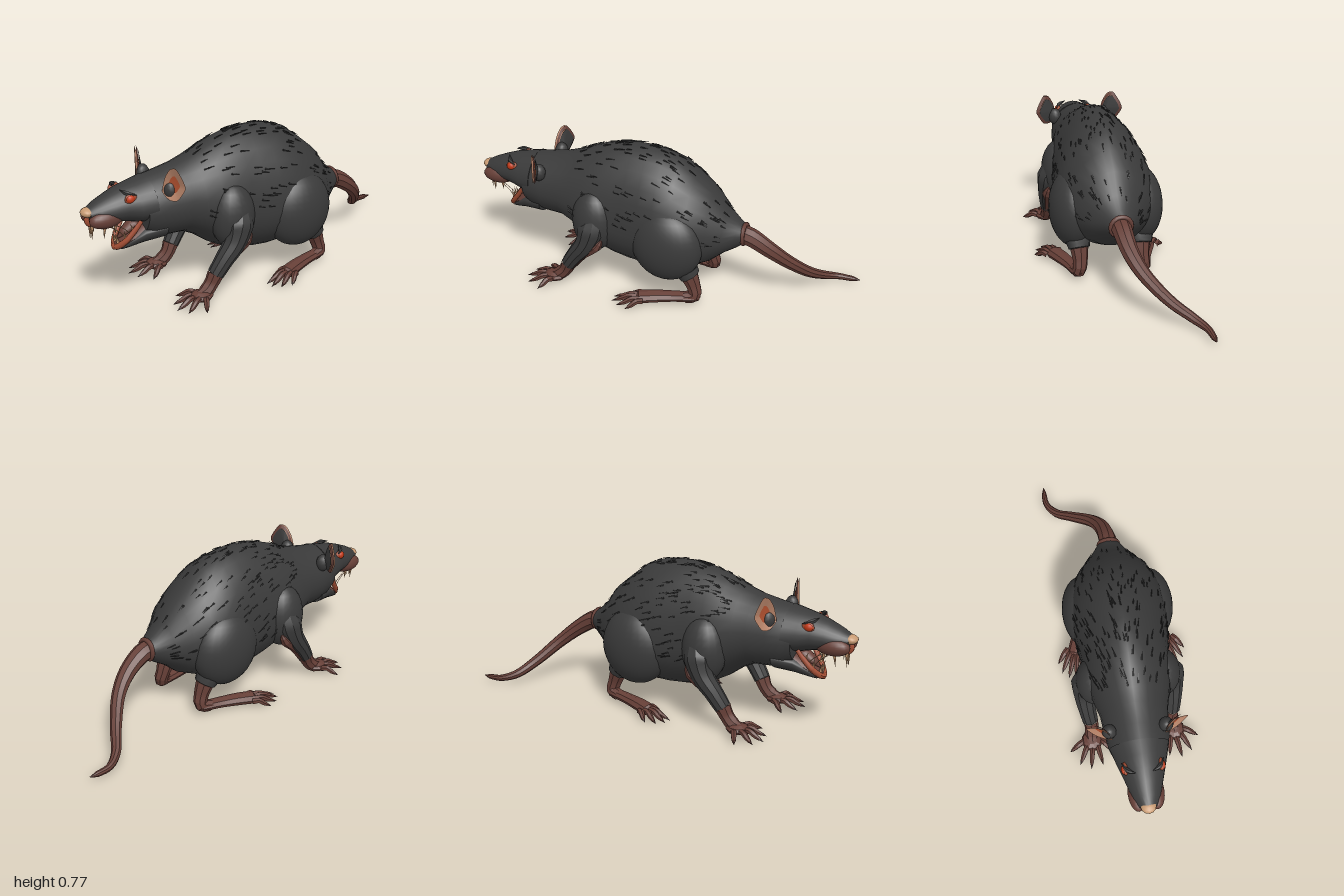
import * as THREE from 'three';
import { mergeGeometries, toCreasedNormals } from 'three/addons/utils/BufferGeometryUtils.js';

const mat = (name, color, side = THREE.FrontSide) => {
  const m = new THREE.MeshStandardMaterial({ color, side });
  m.name = name;
  return m;
};

// Loft along z; each section is [z, top, bottom, widest height, half width]
const sectionPoint = ([z, top, bottom, mid, w], a) => {
  const c = Math.cos(a), s = Math.sin(a);
  return [Math.sign(c) * w * Math.abs(c) ** 1.15, mid + s * (s > 0 ? top - mid : mid - bottom), z];
};

function loft(sections, sides = 28, crease = 0.9) {
  const pos = [], idx = [], last = sections.length - 1;
  for (const s of sections)
    for (let j = 0; j < sides; j++) pos.push(...sectionPoint(s, j / sides * Math.PI * 2));
  for (let i = 0; i < last; i++)
    for (let j = 0; j < sides; j++) {
      const k = (j + 1) % sides, a = i * sides, b = a + sides;
      idx.push(a + j, a + k, b + j, a + k, b + k, b + j);
    }
  const n = pos.length / 3;
  pos.push(0, sections[0][3], sections[0][0], 0, sections[last][3], sections[last][0]);
  for (let j = 0; j < sides; j++) {
    const k = (j + 1) % sides;
    idx.push(n, k, j, n + 1, last * sides + j, last * sides + k);
  }
  const g = new THREE.BufferGeometry();
  g.setAttribute('position', new THREE.Float32BufferAttribute(pos, 3));
  g.setIndex(idx);
  return toCreasedNormals(g, crease);
}

// Tapered tube through points [x, y, z, radius], with pinched ends
function limb(points, sides = 9, steps = 16, crease = 0.9, flat = 1) {
  const curve = new THREE.CatmullRomCurve3(points.map(p => new THREE.Vector3(p[0], p[1], p[2])));
  const g = new THREE.TubeGeometry(curve, steps, 1, sides);
  g.deleteAttribute('uv');
  const p = g.attributes.position, v = new THREE.Vector3();
  for (let i = 0; i <= steps; i++) {
    const u = i / steps, c = curve.getPointAt(u);
    const f = curve.getUtoTmapping(u) * (points.length - 1);
    const k = Math.min(Math.floor(f), points.length - 2);
    const r = THREE.MathUtils.lerp(points[k][3], points[k + 1][3], f - k);
    for (let j = 0; j <= sides; j++) {
      const n = i * (sides + 1) + j;
      v.fromBufferAttribute(p, n).sub(c).multiplyScalar(r);
      p.setXYZ(n, c.x + v.x, c.y + v.y * flat, c.z + v.z);
    }
  }
  return toCreasedNormals(g, crease);
}

const blob = (x, y, z, rx, ry, rz, w = 20, h = 14) =>
  new THREE.SphereGeometry(1, w, h).scale(rx, ry, rz).translate(x, y, z);

// Cone from a base point to a tip
function spike(base, tip, r, sides = 6) {
  const a = new THREE.Vector3(...base), d = new THREE.Vector3(...tip).sub(a), len = d.length();
  const q = new THREE.Quaternion().setFromUnitVectors(new THREE.Vector3(0, 1, 0), d.normalize());
  return new THREE.ConeGeometry(r, len, sides).translate(0, len / 2, 0).applyQuaternion(q).translate(...base);
}

// Band of the cupped ear between two fractions of its outline
function earBand(r0, r1, shift = 0, flip = false) {
  const outline = [[.125, .57], [.16, .535], [.2, .54], [.24, .605], [.225, .65], [.195, .695], [.165, .685], [.14, .64]];
  const curve = new THREE.CatmullRomCurve3(outline.map(p => new THREE.Vector3(p[0], p[1], 0)), true, 'catmullrom', 0.3);
  const at = (u, r) => {
    const o = curve.getPoint(u % 1), x = .155 + (o.x - .155) * r, y = .605 + (o.y - .605) * r;
    return [x, y, .645 - .5 * (x - .125) - .022 * (1 - r * r) + shift];
  };
  const pos = [], n = 24;
  for (let i = 0; i < n; i++) {
    const a = at(i / n, r0), b = at((i + 1) / n, r0), c = at(i / n, r1), d = at((i + 1) / n, r1);
    for (const t of [[a, c, d], [a, d, b]]) pos.push(...(flip ? t.reverse() : t).flat());
  }
  const g = new THREE.BufferGeometry();
  g.setAttribute('position', new THREE.Float32BufferAttribute(pos, 3));
  return toCreasedNormals(g, 0.3);
}

export function createModel() {
  const fur = mat('dark fur', 0x3a3a3a), tuftMat = mat('fur tufts', 0x2e2e2e, THREE.DoubleSide);
  const skin = mat('brown skin', 0x663f37), gum = mat('orange flesh', 0xa34e34);
  const pink = mat('pale ear skin', 0xb9856a, THREE.DoubleSide), inner = mat('inner ear', 0xb0502f, THREE.DoubleSide);
  const eyeRed = mat('red eye', 0xc23a18), ivory = mat('teeth', 0xc79a72), claw = mat('claw', 0x4a2c28);
  const model = new THREE.Group(), left = new THREE.Group();
  left.name = 'leftParts';
  const add = (name, g, m, to = model) => {
    const mesh = new THREE.Mesh(g, m);
    mesh.name = name;
    to.add(mesh);
  };

  // Torso, neck and back of the head
  const body = [
    [-.45, .41, .31, .36, .055], [-.42, .43, .285, .36, .075], [-.36, .485, .25, .35, .12],
    [-.29, .58, .19, .36, .18], [-.2, .655, .15, .36, .225], [-.12, .715, .13, .36, .243],
    [-.04, .745, .118, .36, .245], [.04, .759, .115, .36, .24], [.12, .762, .122, .36, .23],
    [.2, .755, .137, .37, .222], [.28, .735, .165, .39, .218], [.35, .71, .205, .41, .205],
    [.43, .675, .265, .44, .185], [.5, .652, .3, .455, .166], [.6, .632, .305, .46, .157],
    [.67, .622, .32, .465, .145], [.715, .612, .345, .47, .128]];
  add('body', loft(body), fur);

  // Upper muzzle, nose and lower jaw
  add('muzzle', loft([[.67, .623, .4, .49, .143], [.74, .609, .41, .49, .123], [.8, .596, .425, .5, .104],
    [.86, .575, .435, .495, .085], [.92, .55, .45, .49, .066], [.965, .525, .462, .49, .042]]), fur);
  add('nose', blob(0, .503, .962, .038, .023, .037, 12, 8), ivory);
  add('noseBridge', blob(0, .468, .945, .016, .042, .04, 10, 8), gum);
  add('chin', loft([[.62, .41, .305, .38, .13], [.72, .395, .297, .365, .1],
    [.78, .35, .288, .33, .07], [.815, .322, .284, .305, .045]]), fur);
  add('mouthLining', loft([[.69, .425, .36, .385, .094], [.77, .37, .32, .345, .07],
    [.815, .335, .29, .315, .048], [.838, .315, .284, .3, .03]], 16), skin);
  add('lowerLip', limb([[.084, .435, .735, .01], [.072, .39, .765, .013], [.05, .335, .808, .014], [0, .297, .838, .016],
    [-.05, .335, .808, .014], [-.072, .39, .765, .013], [-.084, .435, .735, .01]], 7, 24), gum);
  add('tongue', limb([[0, .415, .71, .001], [0, .4, .735, .038], [0, .365, .785, .03], [0, .335, .825, .001]], 10, 14, 0.9, .5), skin);

  // Tail
  add('tail', limb([[0, .36, -.42, .05], [0, .348, -.48, .048], [-.015, .285, -.58, .041], [-.06, .21, -.665, .034],
    [-.16, .11, -.755, .028], [-.25, .05, -.82, .023], [-.298, .028, -.89, .017], [-.305, .024, -.96, .014],
    [-.304, .024, -1, .002]], 9, 40, 0.6), skin);
  add('tailCollar', new THREE.TorusGeometry(.05, .012, 6, 16).translate(0, .36, -.45), skin);

  // Face details
  add('whiskerPad', blob(.044, .468, .892, .043, .044, .086), skin, left);
  add('eyeRim', blob(.085, .555, .785, .014, .026, .032, 12, 8), gum, left);
  add('eye', blob(.091, .556, .79, .014, .019, .022, 12, 8), eyeRed, left);
  add('brow', limb([[.04, .593, .82, .001], [.075, .582, .8, .013], [.1, .572, .76, .001]], 6, 8), fur, left);
  add('teeth', mergeGeometries([
    spike([.012, .45, .95], [.01, .365, .955], .011), spike([.058, .44, .91], [.052, .375, .915], .009),
    spike([.066, .435, .86], [.06, .39, .86], .008), spike([.016, .305, .825], [.012, .375, .84], .01),
    spike([.048, .345, .805], [.046, .395, .81], .007), spike([.066, .385, .77], [.062, .425, .785], .007)]), ivory, left);
  add('salivaStrands', mergeGeometries([
    limb([[.06, .435, .86, .002], [.06, .4, .81, .002], [.058, .37, .785, .002]], 4, 5),
    limb([[.05, .435, .89, .002], [.05, .385, .83, .002], [.05, .345, .8, .002]], 4, 5)]), ivory, left);

  // Ear: cupped front in two tones, skin rim, furry back
  add('earInner', earBand(0, .5), inner, left);
  add('earOuter', earBand(.5, 1), pink, left);
  add('earBack', earBand(0, .8, -.012, true), fur, left);
  add('earBackRim', earBand(.8, 1, -.009, true), skin, left);
  add('earRoot', blob(.135, .575, .605, .035, .045, .035, 12, 8), fur, left);

  // Front leg
  add('shoulder', blob(.168, .38, .29, .095, .165, .115), fur, left);
  add('frontLeg', limb([[.2, .45, .27, .04], [.215, .35, .285, .073], [.226, .27, .315, .056], [.222, .19, .375, .046],
    [.212, .115, .425, .04], [.21, .105, .432, .001]], 10, 18, 0.5), fur, left);
  add('elbow', limb([[.232, .315, .225, .001], [.235, .275, .25, .03], [.224, .2, .333, .026], [.212, .11, .415, .03]], 7, 10, 0.3), skin, left);
  add('frontWrist', limb([[.214, .125, .42, .041], [.21, .08, .443, .035], [.214, .045, .48, .036], [.217, .035, .53, .02]], 8, 8, 0.3), skin, left);
  add('frontPalm', toCreasedNormals(blob(.217, .033, .505, .055, .027, .06, 9, 6), .3), skin, left);

  // Hind leg
  add('thigh', blob(.17, .325, -.1, .117, .195, .185, 28, 18), fur, left);
  add('hindShank', limb([[.16, .25, -.15, .08], [.16, .19, -.2, .062], [.158, .15, -.225, .05], [.158, .145, -.228, .001]], 10, 8), fur, left);
  add('ankle', limb([[.158, .165, -.215, .047], [.157, .1, -.24, .037], [.165, .05, -.25, .034], [.18, .035, -.2, .03]], 8, 10, 0.3), skin, left);
  add('hindFoot', limb([[.163, .045, -.28, .004], [.168, .04, -.25, .033], [.19, .036, -.15, .035], [.222, .033, -.05, .041],
    [.25, .028, .025, .042], [.257, .025, .045, .002]], 8, 12, 0.3, .7), skin, left);

  // Toes and claws of both feet, as [x, z] tips fanned from the foot
  const toes = (name, cx, cz, spread, tips) => {
    const toeParts = [], clawParts = [];
    tips.forEach(([tx, tz], i) => {
      const bx = cx + spread * (2 - i) / 2, bz = cz - Math.abs(i - 2) * .015;
      const px = k => bx + (tx - bx) * k, pz = k => bz + (tz - bz) * k;
      toeParts.push(limb([[bx, .03, bz, .016], [px(.35), .036, pz(.35), .015],
        [px(.6), .022, pz(.6), .013], [px(.82), .013, pz(.82), .008]], 6, 8, 0.3));
      clawParts.push(spike([px(.76), .016, pz(.76)], [tx, .006, tz], .009, 5));
    });
    add(name + 'Toes', mergeGeometries(toeParts), skin, left);
    add(name + 'Claws', mergeGeometries(clawParts), claw, left);
  };
  toes('front', .217, .535, .042, [[.34, .55], [.295, .625], [.24, .655], [.175, .64], [.105, .585]]);
  toes('hind', .25, .02, .034, [[.345, .06], [.33, .115], [.298, .15], [.26, .155], [.222, .1]]);

  // Swept-back fur tufts scattered over the torso
  let seed = 7;
  const rand = () => (seed = (seed * 16807) % 2147483647) / 2147483647;
  const tufts = [];
  for (let i = 0; i < 260; i++) {
    const f = 2 + rand() * 10, k = Math.floor(f), a = Math.PI * (-.08 + rand() * 1.16);
    const sec = body[k].map((v, n) => v + (body[k + 1][n] - v) * (f - k));
    const back = body[k].map((v, n) => v + (body[k - 1][n] - v) * .5);
    const p = sectionPoint(sec, a), q = sectionPoint(back, a - Math.sign(Math.cos(a)) * .05);
    const dir = new THREE.Vector3(...q).sub(new THREE.Vector3(...p)).setLength(.035 + rand() * .02);
    const out = new THREE.Vector3(Math.cos(a), Math.sin(a), 0).multiplyScalar(.007);
    tufts.push(spike(p, [p[0] + dir.x + out.x, p[1] + dir.y + out.y, p[2] + dir.z], .005, 3));
  }
  add('furTufts', mergeGeometries(tufts), tuftMat);

  // Mirror the paired parts
  const right = left.clone();
  right.name = 'rightParts';
  right.scale.x = -1;
  model.add(left, right);
  return model;
}
